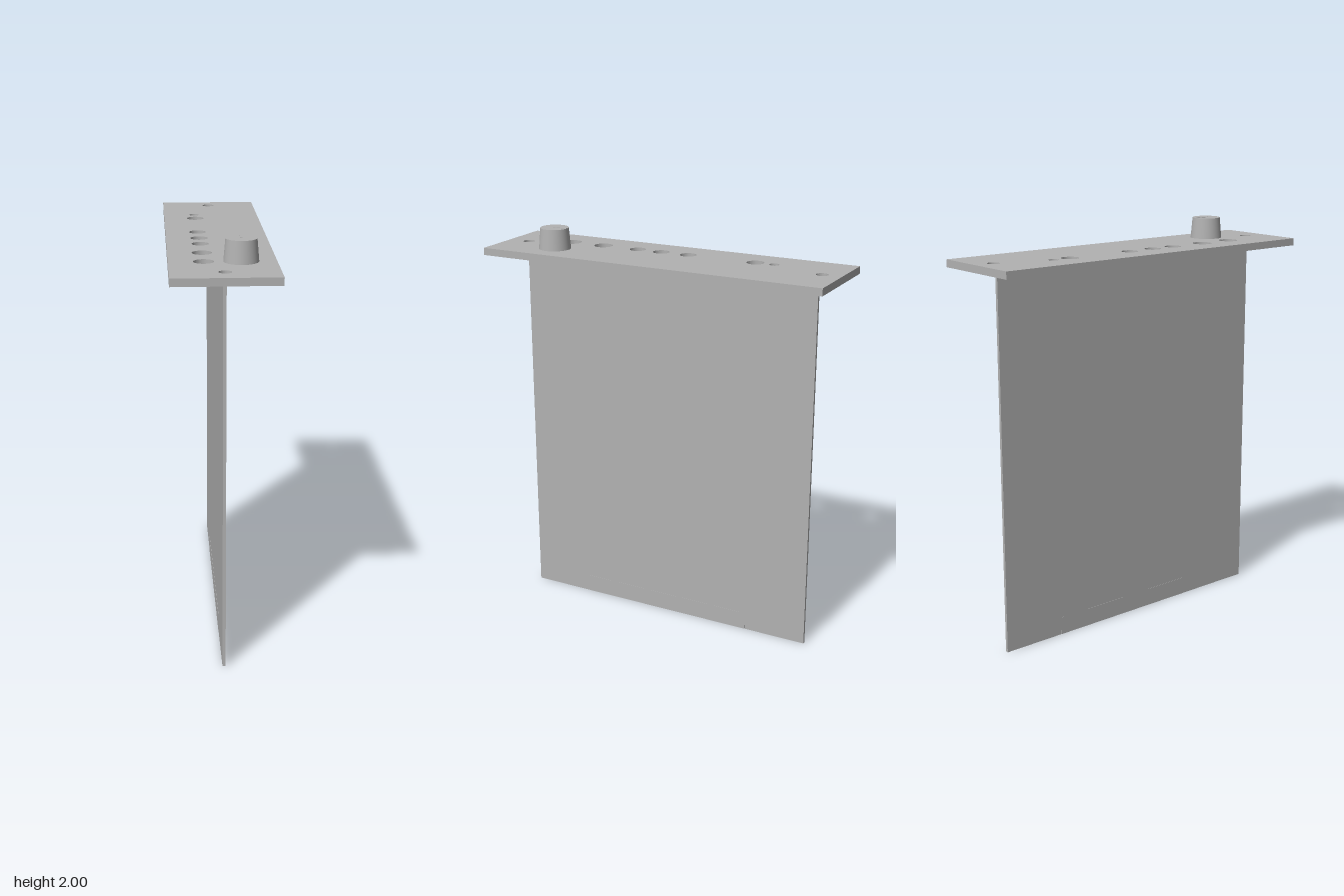
import * as THREE from 'three';

export function createModel() {
  const model = new THREE.Group();
  const grey = new THREE.MeshStandardMaterial({ color: 0xb2b2b2 });
  grey.name = 'plain grey';

  const add = (name, geometry, x = 0, y = 0, z = 0) => {
    const mesh = new THREE.Mesh(geometry, grey);
    mesh.name = name;
    mesh.position.set(x, y, z);
    model.add(mesh);
    return mesh;
  };
  // Box given by its lower and upper corners
  const addBox = (name, [x0, y0, z0], [x1, y1, z1]) =>
    add(name, new THREE.BoxGeometry(x1 - x0, y1 - y0, z1 - z0),
      (x0 + x1) / 2, (y0 + y1) / 2, (z0 + z1) / 2);

  // Faceplate with its row of openings and two screw holes: [x, z, radius]
  const holes = [
    [0, -0.795, 0.029], [0, 0.78, 0.029],
    [-0.085, -0.525, 0.024], [-0.083, -0.43, 0.042],
    [-0.085, -0.075, 0.04], [-0.083, 0.07, 0.04], [-0.083, 0.2, 0.04],
    [-0.083, 0.395, 0.046], [-0.083, 0.575, 0.046],
  ];
  const outline = new THREE.Shape([
    [-0.24, -0.89], [0.24, -0.89], [0.24, 0.89], [-0.24, 0.89],
  ].map(([x, y]) => new THREE.Vector2(x, y)));
  for (const [x, z, r] of holes) {
    outline.holes.push(new THREE.Path().absarc(x, -z, r, 0, Math.PI * 2, true));
  }
  const plate = new THREE.ExtrudeGeometry(outline, { depth: 0.036, bevelEnabled: false, curveSegments: 32 });
  plate.rotateX(-Math.PI / 2);
  add('faceplate', plate, 0, 1.859, 0);

  // Upright board and the narrow flange that carries the faceplate
  addBox('board', [-0.009, 0, -0.783], [0.006, 1.859, 0.783]);
  addBox('flange', [0.006, 1.845, -0.783], [0.14, 1.859, 0.783]);

  // Edge connector, barely proud of both faces of the board
  addBox('edgeConnector', [-0.01, 0, -0.46], [0.007, 0.09, 0.46]);

  // Tapered knob with a pointer line towards the back
  add('knob', new THREE.CylinderGeometry(0.07, 0.079, 0.103, 48), 0.082, 1.9465, 0.575);
  addBox('knobPointer', [0.077, 1.996, 0.508], [0.087, 2, 0.58]);

  return model;
}
